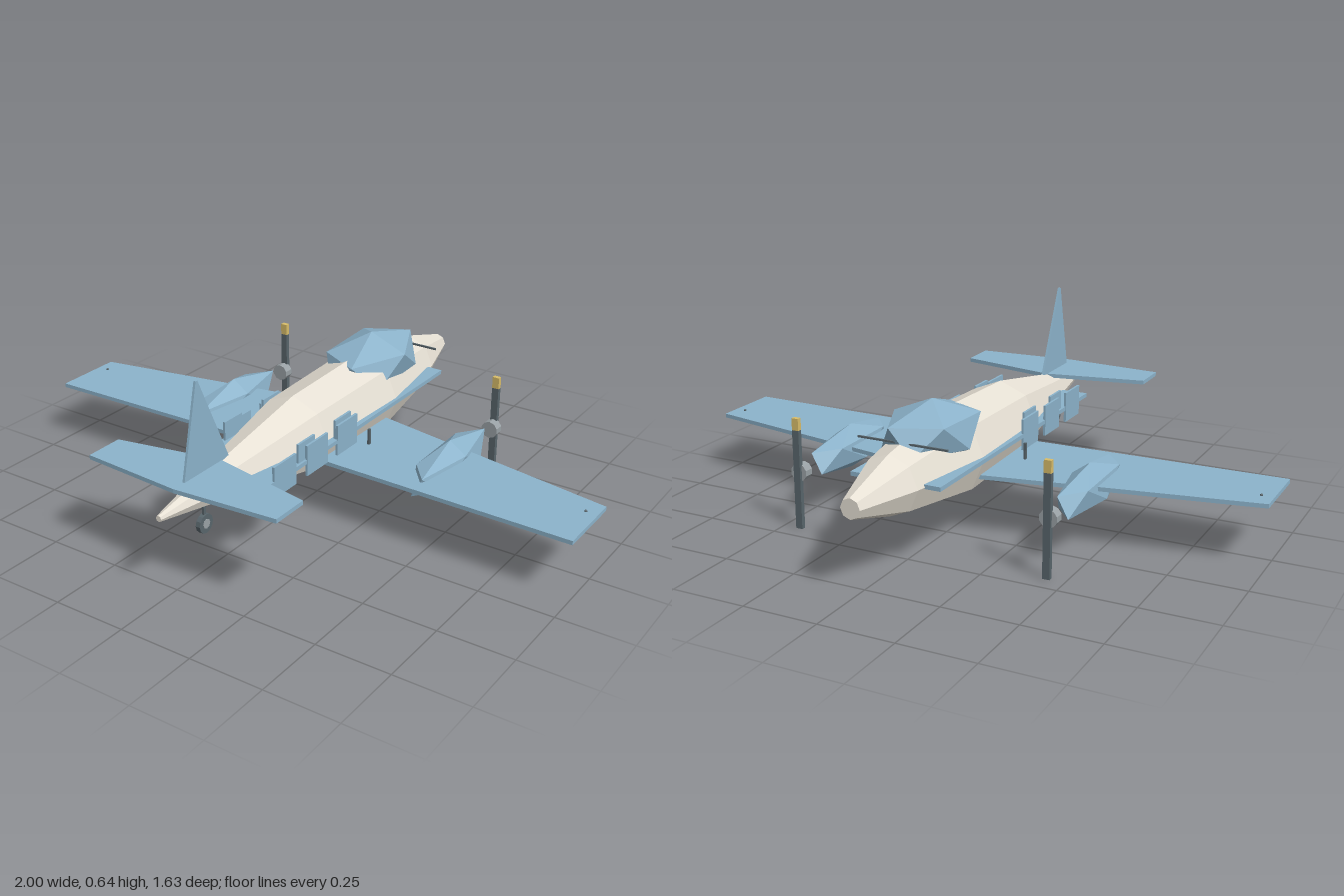
import * as THREE from 'three';
import { ConvexGeometry } from 'three/addons/geometries/ConvexGeometry.js';

const mat = (color) => new THREE.MeshStandardMaterial({ color, flatShading: true });
const CREAM = mat(0xe6e0d4), BLUE = mat(0x8cb3cb), DARK = mat(0x59666c);
const GREY = mat(0x9aa2a6), YELLOW = mat(0xd8bd6a);

function add(parent, name, geometry, material, x = 0, y = 0, z = 0) {
  const mesh = new THREE.Mesh(geometry, material);
  mesh.name = name;
  mesh.position.set(x, y, z);
  parent.add(mesh);
  return mesh;
}

const box = (w, h, d) => new THREE.BoxGeometry(w, h, d);

// Twenty-sided blob with its poles up and down, stretched per axis
function blob(rx, ry, rz) {
  const pts = [new THREE.Vector3(0, ry, 0), new THREE.Vector3(0, -ry, 0)];
  for (let i = 0; i < 10; i++) {
    const a = (i * Math.PI) / 5;
    const h = i % 2 ? -0.447 : 0.447;
    pts.push(new THREE.Vector3(Math.cos(a) * 0.894 * rx, h * ry, Math.sin(a) * 0.894 * rz));
  }
  return new ConvexGeometry(pts);
}

// Flat outline extruded to a thin sheet
function sheet(points, depth) {
  const shape = new THREE.Shape(points.map(([x, y]) => new THREE.Vector2(x, y)));
  return new THREE.ExtrudeGeometry(shape, { depth, bevelEnabled: false });
}

// Horizontal sheet from (x, z) corners of one half, mirrored to the other
function plane(half, depth) {
  const other = half.map(([x, z]) => [-x, z]).reverse().filter(([x]) => x !== 0);
  return sheet([...half, ...other], depth).rotateX(Math.PI / 2);
}

function wheel(parent, name, x, y, z) {
  const g = new THREE.Group();
  g.name = name;
  g.position.set(x, y, z);
  parent.add(g);
  add(g, 'tyre', new THREE.CylinderGeometry(0.032, 0.032, 0.016, 12).rotateZ(Math.PI / 2), DARK);
  add(g, 'wheelHub', new THREE.CylinderGeometry(0.016, 0.016, 0.02, 8).rotateZ(Math.PI / 2), GREY);
  add(g, 'strut', box(0.008, 0.1, 0.01), DARK, 0, 0.05, 0);
}

export function createModel() {
  const plane3d = new THREE.Group();
  plane3d.name = 'airplane';

  // Eight-sided fuselage, nose towards -z
  const profile = [[0, -0.815], [0.033, -0.815], [0.098, -0.6], [0.147, -0.27],
    [0.135, 0.14], [0.01, 0.815], [0, 0.815]].map(([r, z]) => new THREE.Vector2(r, z));
  add(plane3d, 'fuselage', new THREE.LatheGeometry(profile, 8).rotateX(Math.PI / 2), CREAM, 0, 0.275, 0);

  // Faceted canopy and the thin bar ahead of it
  add(plane3d, 'canopy', blob(0.15, 0.1, 0.23), BLUE, 0, 0.375, -0.34).rotation.x = 0.04;
  add(plane3d, 'canopyBar', box(0.31, 0.006, 0.006), DARK, 0, 0.382, -0.52);

  // Side trim running the length of the cabin
  add(plane3d, 'sideTrim', box(0.31, 0.014, 1.1), BLUE, 0, 0.277, -0.018);

  // Wing, tailplane and fin
  add(plane3d, 'wing', plane([[0, -0.268], [1, -0.082], [1, 0.163], [0, 0.142]], 0.014), BLUE, 0, 0.213, 0);
  add(plane3d, 'tailplane', plane([[0, 0.52], [0.35, 0.59], [0.35, 0.72], [0, 0.745]], 0.014), BLUE, 0, 0.341, 0);
  const fin = sheet([[0.48, 0.33], [0.62, 0.64], [0.628, 0.64], [0.7, 0.33], [0.69, 0.31], [0.5, 0.31]], 0.008);
  add(plane3d, 'fin', fin.rotateY(-Math.PI / 2), BLUE, 0.004, 0, 0);

  for (const s of [1, -1]) {
    // Engine nacelle
    const x = 0.44 * s;
    add(plane3d, 'nacelle', blob(0.066, 0.077, 0.258), BLUE, x, 0.19, -0.118).rotation.y = 0.02;

    // Two-bladed propeller with one marked tip
    const prop = new THREE.Group();
    prop.name = 'propeller';
    prop.position.set(x, 0.19, -0.43);
    plane3d.add(prop);
    add(prop, 'hub', new THREE.CylinderGeometry(0.03, 0.03, 0.034, 10).rotateX(Math.PI / 2), GREY, 0, 0, 0.013);
    add(prop, 'blades', box(0.024, 0.335, 0.016), DARK, 0, -0.0225, -0.006);
    add(prop, 'bladeTip', box(0.024, 0.04, 0.016), YELLOW, 0, 0.165, -0.006);

    // Window panels, a lower row of three and an upper pair
    for (const z of [0.4025, 0.2275, 0.055]) {
      add(plane3d, 'window', box(0.008, 0.105, 0.116), BLUE, 0.152 * s, 0.28, z);
    }
    for (const z of [0.275, 0.067]) {
      add(plane3d, 'upperWindow', box(0.008, 0.075, 0.09), BLUE, 0.143 * s, 0.311, z);
    }

    // Main wheel and wingtip light
    wheel(plane3d, 'mainWheel', 0.18 * s, 0.168, -0.04);
    add(plane3d, 'wingtipLight', new THREE.SphereGeometry(0.005, 8, 6), DARK, 0.96 * s, 0.214, -0.02);
  }

  wheel(plane3d, 'tailWheel', 0, 0.164, 0.61);
  return plane3d;
}
